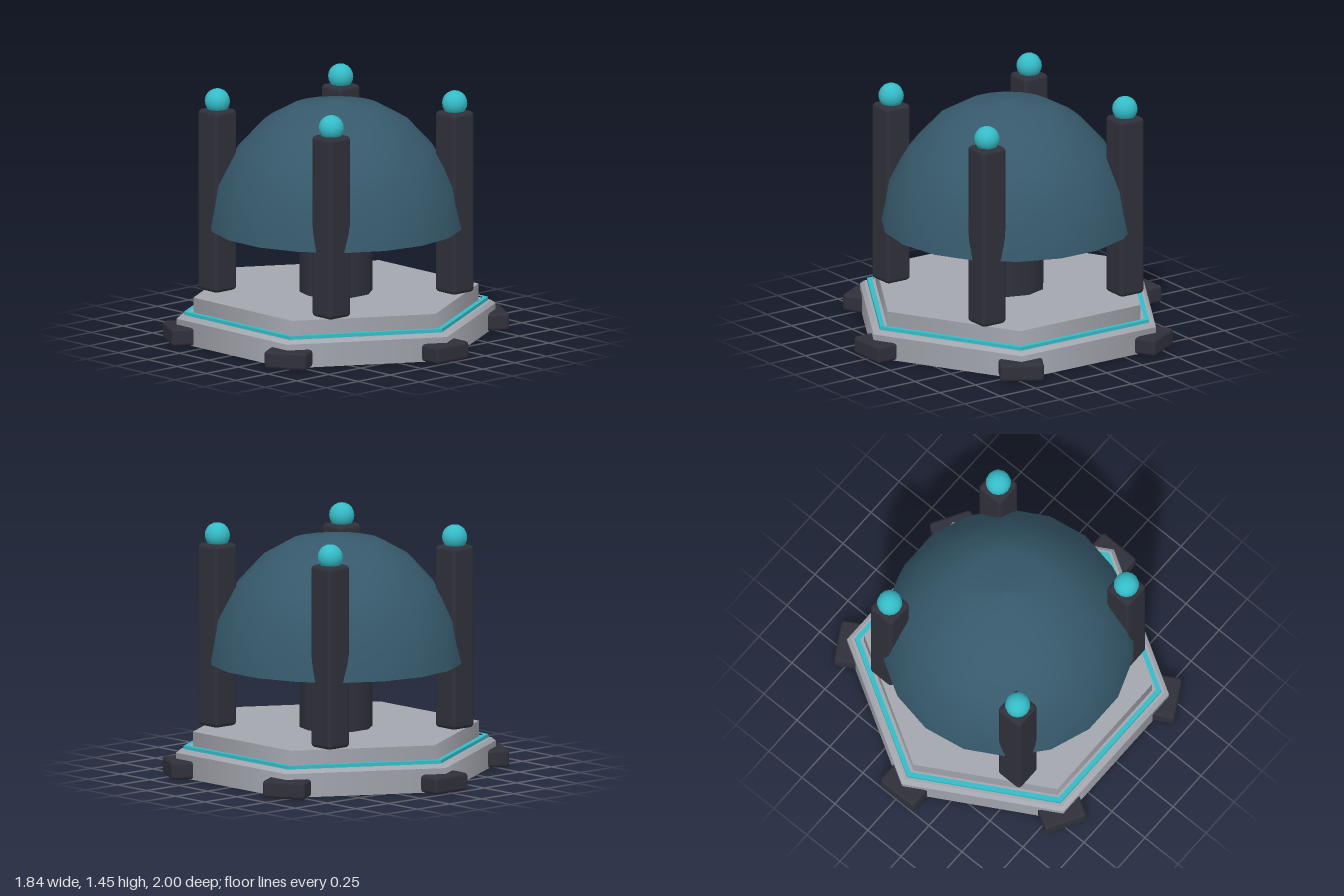
import * as THREE from 'three';
import { RoundedBoxGeometry } from 'three/addons/geometries/RoundedBoxGeometry.js';

export function createModel() {
  const model = new THREE.Group();
  const material = (name, color, extra = {}) => {
    const m = new THREE.MeshStandardMaterial({ color, ...extra });
    m.name = name;
    return m;
  };
  const stone = material('paleGrey', 0xa4a7af);
  const dark = material('darkSlate', 0x30303b);
  const cyan = material('brightCyan', 0x35bcc8);
  const teal = material('deepTeal', 0x36596b, { side: THREE.DoubleSide });

  const add = (name, geometry, mat, x = 0, y = 0, z = 0) => {
    const mesh = new THREE.Mesh(geometry, mat);
    mesh.name = name;
    mesh.position.set(x, y, z);
    model.add(mesh);
    return mesh;
  };
  // Hexagonal tier with points toward the front and back
  const tier = (name, top, bottom, y0, y1, mat) =>
    add(name, new THREE.CylinderGeometry(top, bottom, y1 - y0, 6), mat, 0, (y0 + y1) / 2, 0);

  // Stepped hexagonal base
  tier('basePlinth', 0.945, 0.945, 0, 0.14, stone);
  tier('baseChamfer', 0.92, 0.945, 0.14, 0.16, stone);
  tier('upperPlatform', 0.845, 0.845, 0.16, 0.26, stone);

  // Glowing hexagonal trim around the platform
  const hexagon = (r, type) => {
    const s = new type();
    for (let i = 0; i < 6; i++) {
      const a = i * Math.PI / 3;
      s[i ? 'lineTo' : 'moveTo'](r * Math.sin(a), r * Math.cos(a));
    }
    s.closePath();
    return s;
  };
  const trimShape = hexagon(0.9, THREE.Shape);
  trimShape.holes.push(hexagon(0.868, THREE.Path));
  const trim = add('baseTrim',
    new THREE.ExtrudeGeometry(trimShape, { depth: 0.02, bevelEnabled: false }), cyan, 0, 0.18, 0);
  trim.rotation.x = Math.PI / 2;

  // Feet at the six corners
  for (let i = 0; i < 6; i++) {
    const a = i * Math.PI / 3;
    const foot = add('foot', new RoundedBoxGeometry(0.255, 0.104, 0.22, 2, 0.02), dark,
      0.89 * Math.sin(a), 0.054, 0.89 * Math.cos(a));
    foot.rotation.y = a;
  }

  // Four posts with round lamps
  const postGeometry = new RoundedBoxGeometry(0.168, 1.07, 0.168, 2, 0.025);
  const lampGeometry = new THREE.SphereGeometry(0.074, 14, 10);
  for (const x of [-0.485, 0.485]) {
    for (const z of [-0.485, 0.485]) {
      add('post', postGeometry, dark, x, 0.795, z);
      add('postLamp', lampGeometry, cyan, x, 1.376, z);
    }
  }

  // Central pedestal
  const pedestal = add('pedestal', new THREE.CylinderGeometry(0.213, 0.213, 0.44, 10), dark, 0, 0.48, 0);
  pedestal.rotation.y = Math.PI / 2;

  // Core and its tilted ring under the dome
  add('core', new THREE.SphereGeometry(0.18, 20, 14), cyan, 0, 0.98, 0);
  const ring = add('coreRing', new THREE.TorusGeometry(0.28, 0.015, 8, 32), stone, 0, 0.98, 0);
  ring.rotation.x = -0.6;

  // Open dome canopy
  const profile = [[0.735, 0.645], [0.692, 0.9], [0.568, 1.105], [0.42, 1.265], [0.262, 1.353], [0, 1.395]]
    .map(([r, y]) => new THREE.Vector2(r, y));
  add('dome', new THREE.LatheGeometry(profile, 18), teal);

  return model;
}
